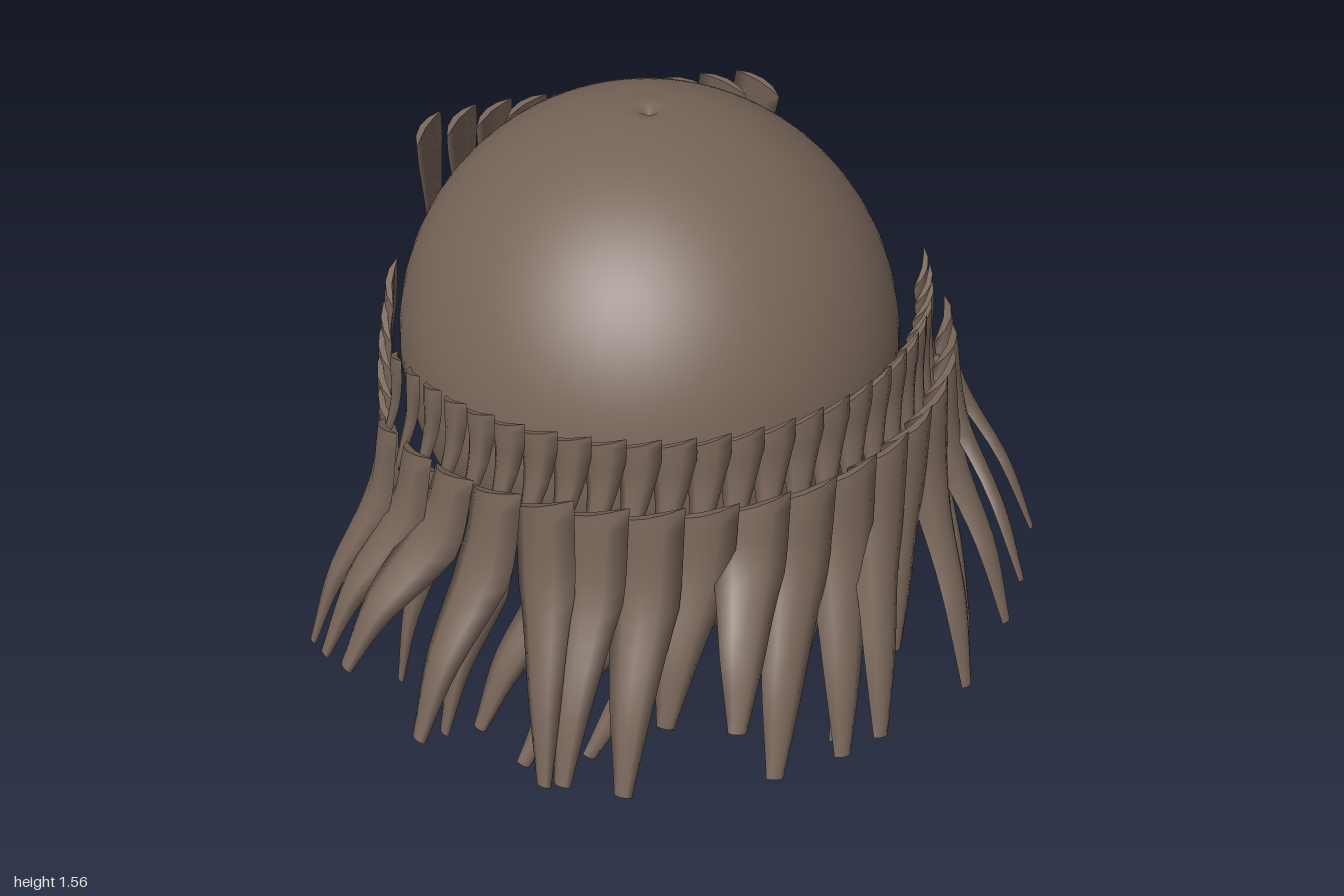
import * as THREE from 'three';

const CX = 0.035, CZ = -0.17;          // axis of the cap
const V = (x, y, z) => new THREE.Vector3(x, y, z);

// One tapered lock: a thin curved blade swept from root to tip.
// radial = outward direction, slant = raises one corner of the top edge,
// full = how far down the lock keeps its width.
function lockGeometry(points, radial, width, { slant, bend, full }) {
  const curve = new THREE.CatmullRomCurve3(points);
  const steps = 14;
  const section = [[-1, -0.12], [-0.5, 0.1], [0, 0.17], [0.5, 0.1], [1, -0.12], [0.5, -0.06], [0, -0.02], [-0.5, -0.06]];
  const n = section.length, pos = [], index = [];
  const ring = (t, size) => {
    const c = curve.getPoint(t), T = curve.getTangent(t);
    const W = radial.clone().cross(T).normalize();
    const N = T.clone().cross(W).normalize();
    W.addScaledVector(N, bend * Math.sign(slant)).normalize();
    N.crossVectors(T, W);
    const taper = t < full ? 1 : 1 - 0.75 * Math.pow((t - full) / (1 - full), 0.85);
    const h = width * 0.5 * taper * size;
    for (const [a, b] of section) {
      const p = c.clone().addScaledVector(W, a * h).addScaledVector(N, b * h * 1.3);
      p.y += a * h * slant * Math.max(0, 1 - t * 3);
      pos.push(p.x, p.y, p.z);
    }
  };
  ring(0, 0); ring(0, 1);
  for (let i = 0; i <= steps; i++) ring(i / steps, 1);
  ring(1, 1); ring(1, 0);
  const rings = pos.length / 3 / n;
  for (let r = 0; r < rings - 1; r++) for (let i = 0; i < n; i++) {
    const a = r * n + i, b = r * n + (i + 1) % n;
    index.push(a, a + n, b, b, a + n, b + n);
  }
  const g = new THREE.BufferGeometry();
  g.setAttribute('position', new THREE.Float32BufferAttribute(pos, 3));
  g.setIndex(index);
  g.computeVertexNormals();
  return g;
}

export function createModel() {
  const model = new THREE.Group();
  const hair = new THREE.MeshStandardMaterial({ color: 0x756357, side: THREE.DoubleSide });
  hair.name = 'brownHair';

  const group = (name) => {
    const g = new THREE.Group();
    g.name = name;
    model.add(g);
    return g;
  };
  const addLock = (parent, name, points, width, style) => {
    const radial = V(points[0].x - CX, 0, points[0].z - CZ).normalize();
    const m = new THREE.Mesh(lockGeometry(points, radial, width, style), hair);
    m.name = name;
    parent.add(m);
  };
  const onRing = (phi, r, y) => V(CX + r * Math.sin(phi), y, CZ + r * Math.cos(phi));

  // Cap: full dome above, and a lower wall left open for the face
  const R = 0.665, CY = 0.9;
  const profile = (y0, y1, steps) => {
    const pts = [];
    const a0 = Math.asin((y0 - CY) / R), a1 = Math.asin(Math.min(1, (y1 - CY) / R));
    for (let i = 0; i <= steps; i++) {
      const a = a0 + (a1 - a0) * i / steps;
      pts.push(new THREE.Vector2(Math.max(0, R * Math.cos(a)), CY + R * Math.sin(a)));
    }
    return pts;
  };
  const cap = group('cap');
  const domePts = profile(1.04, 1.565, 32);
  domePts[domePts.length - 1].set(0, 1.545);      // small dimple at the crown
  const dome = new THREE.Mesh(new THREE.LatheGeometry(domePts, 64), hair);
  dome.name = 'dome';
  const wall = new THREE.Mesh(
    new THREE.LatheGeometry(profile(0.685, 1.04, 16), 48, -Math.PI * 0.75, Math.PI * 1.5), hair);
  wall.name = 'lowerWall';
  cap.add(dome, wall);
  cap.scale.z = 1.035;
  cap.position.set(CX, 0, CZ);

  // Upper row: short shingled teeth around the cap
  const upper = group('upperLocks');
  const count = 25;
  for (let i = 0; i < count; i++) {
    const phi = THREE.MathUtils.degToRad(76 - 152 * i / (count - 1));
    const points = [onRing(phi, 0.725, 1.08), onRing(phi, 0.74, 0.96), onRing(phi - 0.03, 0.78, 0.8)];
    addLock(upper, 'upperLock', points, 0.125, { slant: 0.4, bend: 0.35, full: 0.2 });
  }

  // Long locks in two layers, swept outwards and round, given by their tips
  const outerTips = [
    [0.98, 0.4, 0.35], [0.86, 0.4, 0.54], [0.81, 0.3, 0.58], [0.65, 0.22, 0.7], [0.44, 0.39, 0.68],
    [0.33, 0.3, 0.87], [0.23, 0.26, 0.87], [0.04, 0.27, 0.9], [-0.06, 0.45, 0.89], [-0.2, 0.38, 0.76],
    [-0.33, 0.25, 0.83], [-0.47, 0.28, 0.78], [-0.51, 0.26, 0.75], [-0.78, 0.3, 0.55],
    [-0.92, 0.4, 0.35], [-0.96, 0.35, 0.23], [-0.98, 0.31, 0.13],
  ];
  const innerTips = [
    [0.72, 0.27, 0.54], [0.4, 0.4, 0.66], [0.29, 0.1, 0.68], [0.12, 0.2, 0.72], [-0.38, 0.27, 0.7],
    [-0.54, 0.25, 0.66], [-0.62, 0.26, 0.52], [-0.69, 0.1, 0.36], [-0.77, 0.15, 0.18],
  ];
  const addLayer = (name, tips, from, to, r, top, width) => {
    const layer = group(name + 's');
    tips.forEach((t, i) => {
      const phi = THREE.MathUtils.degToRad(from + (to - from) * i / (tips.length - 1));
      const root = onRing(phi, r, top), tip = V(...t);
      const at = (k, drop) => {
        const p = root.clone().lerp(tip, k);
        p.y = root.y + (tip.y - root.y) * drop;
        return p;
      };
      addLock(layer, name, [root, at(0.17, 0.32), at(0.7, 0.68), tip], width, { slant: 0.4, bend: 0.3, full: 0.35 });
    });
  };
  addLayer('outerLock', outerTips, 75, -72, 0.795, 0.925, 0.18);
  addLayer('innerLock', innerTips, 66, -62, 0.76, 0.86, 0.14);

  // Temple locks, mirrored: root z, root y, tip z, tip y
  const temple = [
    [-0.51, 0.96, -0.6, 0.54], [-0.45, 0.89, -0.55, 0.36], [-0.39, 0.84, -0.47, 0.19],
    [-0.32, 0.79, -0.4, 0.01], [-0.25, 0.74, -0.32, 0.01],
  ];
  for (const side of [1, -1]) {
    const g = group(side > 0 ? 'leftTempleLocks' : 'rightTempleLocks');
    for (const [rz, ry, tz, ty] of temple) {
      const x = (z, r) => CX + side * Math.sqrt(r * r - (z - CZ) ** 2);
      const mz = rz * 0.75 + tz * 0.25 + 0.02;
      const points = [V(x(rz, 0.72), ry, rz), V(x(mz, 0.74), ry * 0.6 + ty * 0.4, mz), V(x(tz, 0.785), ty, tz)];
      addLock(g, 'templeLock', points, 0.15, { slant: 0.5 * side, bend: 0.2, full: 0.35 });
    }
  }

  // Fringe over the face opening: the middle locks dip through the cap and come out below its lip
  const fringe = group('fringe');
  for (let i = -5; i <= 5; i++) {
    const u = i / 5;
    const root = V(CX + u * 0.48, 1.32, -0.75 + 0.065 * u * u);
    const tip = V(CX + u * 0.455, 0.84 - 0.14 * u * u, -0.895);
    const mid = root.clone().lerp(tip, 0.5);
    mid.z += 0.025;
    addLock(fringe, 'fringeLock', [root, mid, tip], 0.15, { slant: i < 0 ? -0.05 : 0.05, bend: 0.15, full: 0.12 });
  }
  return model;
}
